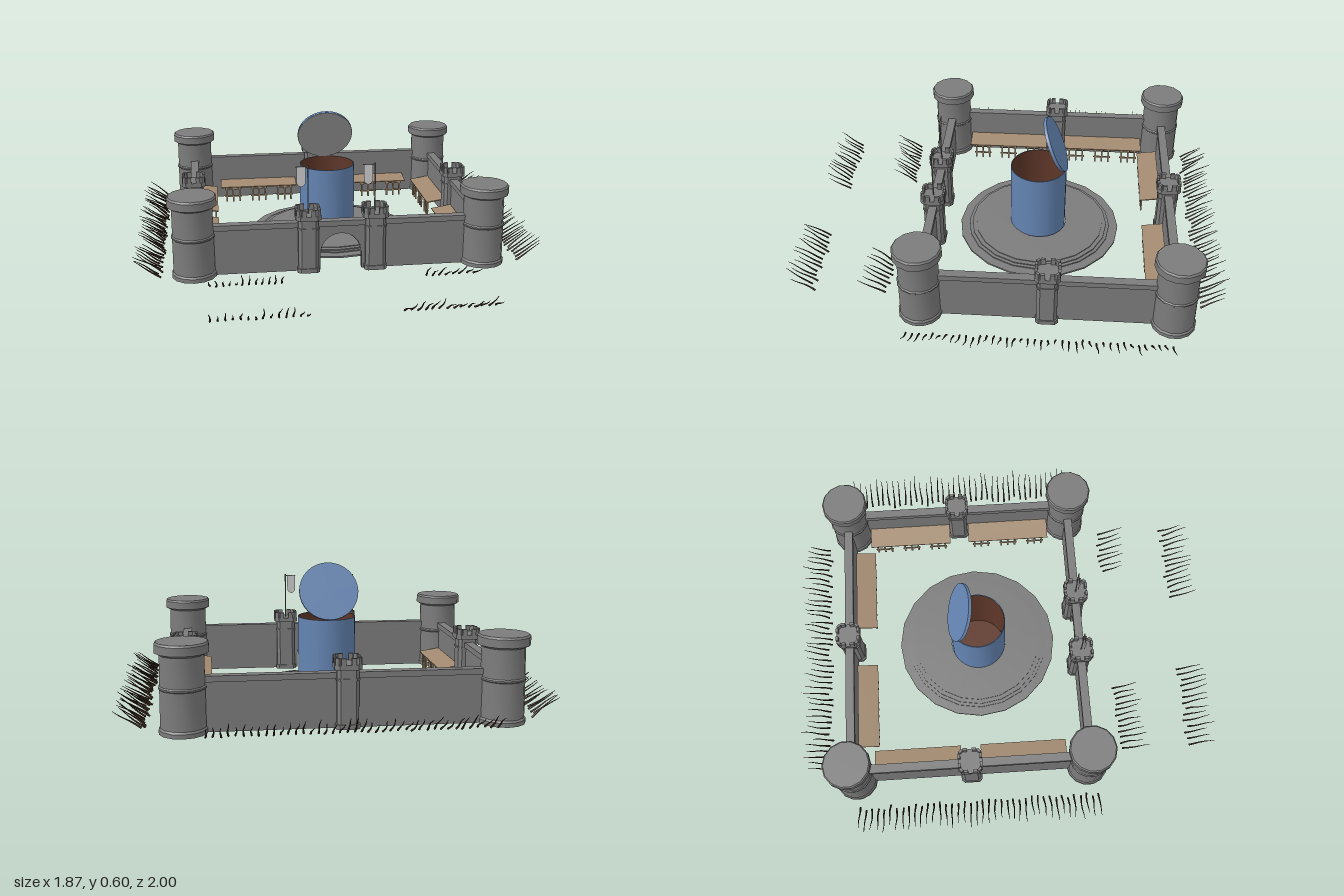
import * as THREE from 'three';
import { mergeGeometries, toCreasedNormals } from 'three/addons/utils/BufferGeometryUtils.js';

const mat = (color, side = THREE.FrontSide) => new THREE.MeshStandardMaterial({ color, side });
const stone = mat(0x7c7c7c);
const hollowStone = mat(0x7c7c7c, THREE.DoubleSide);
const paleStone = mat(0xa2a2a2);
const blue = mat(0x6484b2);
const wood = mat(0xa28a70);
const darkWood = mat(0x3a2a20);
const earth = mat(0x5e3628, THREE.DoubleSide);
const cloth = mat(0xcccccc, THREE.DoubleSide);

let seed = 7;
const rand = () => (seed = (seed * 16807) % 2147483647) / 2147483647;

function add(parent, name, geometry, material, x = 0, y = 0, z = 0) {
  const mesh = new THREE.Mesh(geometry, material);
  mesh.name = name;
  mesh.position.set(x, y, z);
  parent.add(mesh);
  return mesh;
}
function group(parent, name, x = 0, y = 0, z = 0, turn = 0) {
  const g = new THREE.Group();
  g.name = name;
  g.position.set(x, y, z);
  g.rotation.y = turn;
  parent.add(g);
  return g;
}
const box = (w, h, d, x = 0, y = 0, z = 0) => new THREE.BoxGeometry(w, h, d).translate(x, y, z);
const lathe = (points, sides) => toCreasedNormals(
  new THREE.LatheGeometry(points.map(([r, y]) => new THREE.Vector2(r, y)), sides), 0.6);

// Square prism with cut corners, standing on y
function chamferedPrism(half, cut, y, height) {
  const a = half, b = half - cut;
  const shape = new THREE.Shape([[a, -b], [a, b], [b, a], [-b, a], [-a, b], [-a, -b], [-b, -a], [b, -a]]
    .map(([x, z]) => new THREE.Vector2(x, z)));
  return new THREE.ExtrudeGeometry(shape, { depth: height, bevelEnabled: false })
    .rotateX(-Math.PI / 2).translate(0, y, 0);
}

// Small wall turret with battlements
function turret(parent, x, z) {
  const g = group(parent, 'wallTurret', x, 0, z);
  add(g, 'turretBase', chamferedPrism(0.05, 0.014, 0, 0.02), stone);
  add(g, 'turretBody', chamferedPrism(0.045, 0.014, 0.02, 0.225), stone);
  add(g, 'turretBand', chamferedPrism(0.048, 0.014, 0.2, 0.008), stone);
  add(g, 'turretCap', chamferedPrism(0.056, 0.018, 0.245, 0.02), stone);
  const merlons = [];
  for (let i = 0; i < 4; i++) {
    for (const s of [-0.021, 0.021]) merlons.push(box(0.02, 0.028, 0.012, s, 0.279, 0.05).rotateY(i * Math.PI / 2));
    merlons.push(box(0.018, 0.028, 0.012, 0, 0.279, 0.06).rotateY((i + 0.5) * Math.PI / 2));
  }
  add(g, 'turretBattlements', mergeGeometries(merlons), stone);
}

// Lean-to shed: length along x, wall side at -z
function shed(parent, x, z, turn) {
  const g = group(parent, 'shed', x, 0, z, turn);
  const roof = add(g, 'shedRoof', box(0.41, 0.005, 0.1), wood, 0, 0.09, 0);
  roof.rotation.x = 0.15;
  const bars = [];
  for (const cx of [-0.14, 0, 0.14]) {
    for (const s of [-0.035, 0, 0.035]) bars.push(box(0.008, 0.08, 0.007, cx + s, 0.04, 0.038));
    for (const y of [0.03, 0.072]) bars.push(box(0.09, 0.007, 0.006, cx, y, 0.038));
  }
  add(g, 'shedFrames', mergeGeometries(bars), wood);
}

// Row of crooked stakes along x, leaning towards +z
function stakeRow(parent, x, z, length, turn) {
  const stakes = [];
  const count = Math.round(length / 0.029);
  for (let i = 0; i <= count; i++) {
    const len = 0.115 + rand() * 0.03;
    const geo = new THREE.CylinderGeometry(0.001, 0.0048, len, 5, 5).translate(0, len / 2, 0);
    const p = geo.attributes.position, phase = rand() * 6, bend = 0.001 + rand() * 0.002;
    for (let k = 0; k < p.count; k++) {
      const t = p.getY(k) / len;
      p.setX(k, p.getX(k) + Math.sin(phase + t * 6) * bend);
      p.setZ(k, p.getZ(k) + Math.cos(phase + t * 5) * bend);
    }
    geo.computeVertexNormals();
    geo.rotateZ((rand() - 0.5) * 0.08).rotateX(0.86 + rand() * 0.22);
    const slide = rand() * 0.024;
    stakes.push(geo.translate((i / count - 0.5) * length, 0.008 + slide * 0.5, slide));
  }
  add(group(parent, 'stakeRow', x, 0, z, turn), 'stakes', mergeGeometries(stakes), darkWood);
}

export function createModel() {
  const model = new THREE.Group();
  model.name = 'fortress';
  const L = -0.655, R = 0.645, B = -0.742, F = 0.368, midX = (L + R) / 2, midZ = (B + F) / 2;

  // Round corner towers, hollow underneath
  const towerGeo = lathe([[0.099, 0], [0.099, 0.018], [0.093, 0.026], [0.092, 0.18], [0.096, 0.184],
    [0.096, 0.19], [0.091, 0.195], [0.09, 0.318], [0.109, 0.328], [0.109, 0.362], [0.103, 0.37], [0, 0.37]], 14);
  for (const x of [L, R]) for (const z of [B, F]) add(model, 'cornerTower', towerGeo, hollowStone, x, 0, z);

  // Plain walls with copings
  function wall(x, z, length, turn) {
    const g = group(model, 'wall', x, 0, z, turn);
    add(g, 'wallBody', box(length, 0.205, 0.026, 0, 0.1025, 0), stone);
    add(g, 'wallCoping', box(length, 0.025, 0.04, 0, 0.2175, 0), stone);
  }
  wall(midX, B, R - L, 0);
  wall(L, midZ, F - B, Math.PI / 2);
  wall(R, midZ, F - B, Math.PI / 2);

  // Front wall with arched gateway
  const gateR = 0.093, spring = 0.078;
  const outline = new THREE.Shape();
  outline.moveTo(L, 0);
  outline.lineTo(midX - gateR, 0);
  outline.lineTo(midX - gateR, spring);
  outline.absarc(midX, spring, gateR, Math.PI, 0, true);
  outline.lineTo(midX + gateR, 0);
  outline.lineTo(R, 0);
  outline.lineTo(R, 0.205);
  outline.lineTo(L, 0.205);
  const front = group(model, 'frontWall', 0, 0, F);
  add(front, 'gateWall', new THREE.ExtrudeGeometry(outline,
    { depth: 0.026, bevelEnabled: false, curveSegments: 16 }).translate(0, 0, -0.013), stone);
  add(front, 'wallCoping', box(R - L, 0.025, 0.04, midX, 0.2175, 0), stone);
  add(front, 'gateArchTrim', new THREE.TorusGeometry(gateR, 0.005, 4, 20, Math.PI).scale(1, 1, 3.4), stone, midX, spring, 0);

  // Wall turrets
  for (const [x, z] of [[-0.01, B], [L, -0.19], [R, -0.19], [-0.152, F], [0.148, F]]) turret(model, x, z);

  // Banners above the gate
  const bannerShape = new THREE.Shape([[-0.05, 0], [-0.01, 0], [-0.01, -0.075], [-0.018, -0.086], [-0.03, -0.092],
    [-0.042, -0.086], [-0.05, -0.075]].map(([x, y]) => new THREE.Vector2(x, y)));
  for (const x of [-0.15, 0.147]) {
    const g = group(model, 'banner', x, 0, F);
    add(g, 'bannerPole', new THREE.CylinderGeometry(0.003, 0.003, 0.225, 6), stone, 0, 0.373, 0);
    add(g, 'bannerBar', box(0.055, 0.004, 0.004, -0.026, 0.478, 0), stone);
    add(g, 'bannerCloth', new THREE.ShapeGeometry(bannerShape), cloth, 0, 0.478, 0);
  }

  // Sheds along the inside of the walls
  for (const x of [-0.315, 0.291]) shed(model, x, -0.673, 0);
  for (const z of [-0.44, 0.065]) {
    shed(model, -0.59, z, Math.PI / 2);
    shed(model, 0.58, z, -Math.PI / 2);
  }

  // Stepped round platform
  add(model, 'platform', lathe([[0.13, 0], [0.387, 0], [0.387, 0.008], [0.345, 0.01], [0.345, 0.015],
    [0.33, 0.016], [0.33, 0.021], [0.31, 0.022], [0.31, 0.026], [0.13, 0.028]], 20), stone, 0.008, 0, -0.127);

  // Open vat with earthen lining
  const vat = group(model, 'vat', -0.005, 0, -0.12);
  add(vat, 'vatWall', lathe([[0.129, 0], [0.133, 0], [0.133, 0.35], [0.129, 0.35]], 32), blue);
  add(vat, 'vatLining', new THREE.CylinderGeometry(0.129, 0.129, 0.35, 32, 1, true), earth, 0, 0.175, 0);
  add(vat, 'vatFloor', new THREE.CircleGeometry(0.13, 32).rotateX(-Math.PI / 2), earth, 0, 0.003, 0);

  // Raised lid, hinged at the rear rim and leaning forward
  const lid = group(vat, 'lid', 0, 0.35, -0.13);
  lid.rotation.x = -1.16;
  add(lid, 'lidTop', new THREE.CylinderGeometry(0.135, 0.135, 0.012, 32), blue, 0, 0.004, 0.135);
  add(lid, 'lidUnderside', new THREE.CylinderGeometry(0.134, 0.134, 0.004, 32), paleStone, 0, -0.003, 0.135);

  // Defensive stakes outside the walls
  stakeRow(model, -0.022, -0.855, 1.16, Math.PI);
  stakeRow(model, -0.79, -0.16, 1.14, -Math.PI / 2);
  stakeRow(model, 0.79, -0.16, 1.14, Math.PI / 2);
  for (const [x0, x1, z] of [[-0.59, -0.285, 0.525], [0.345, 0.56, 0.525], [-0.59, -0.205, 0.862], [0.18, 0.56, 0.862]])
    stakeRow(model, (x0 + x1) / 2, z, x1 - x0, 0);

  return model;
}
